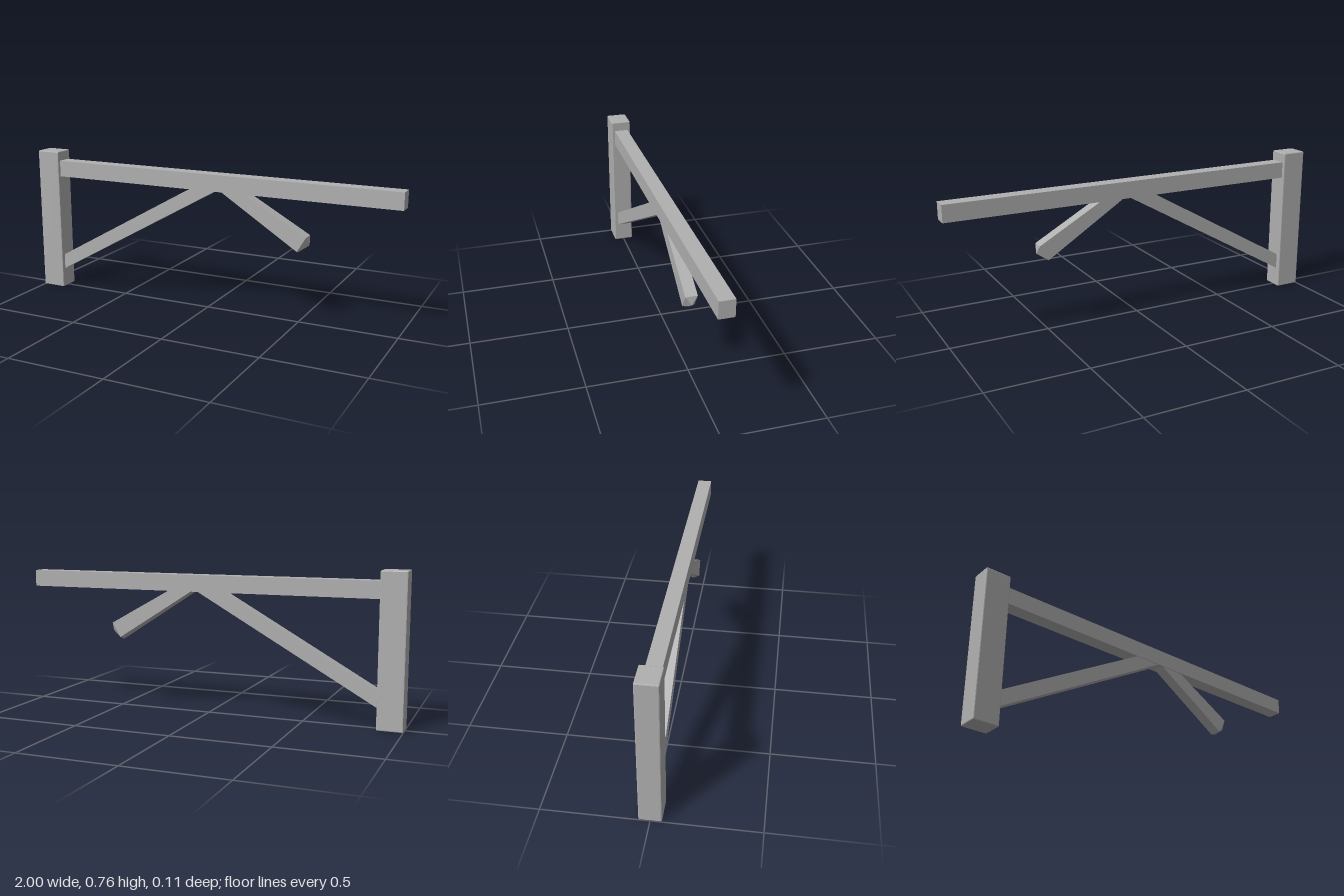
import * as THREE from 'three';
import { RoundedBoxGeometry } from 'three/addons/geometries/RoundedBoxGeometry.js';

const grey = new THREE.MeshStandardMaterial({ color: 0xb0b0b0 });
grey.name = 'grey';
grey.flatShading = true;

function add(group, name, geometry, x, y, z, tilt = 0) {
  const mesh = new THREE.Mesh(geometry, grey);
  mesh.name = name;
  mesh.position.set(x, y, z);
  mesh.rotation.z = tilt;
  group.add(mesh);
  return mesh;
}

// Five-sided peg along +x: flat top, ridged underside, pointed end
function pegGeometry(length, startHalf, endHalf, halfWidth) {
  const ring = (x, h) => [
    [x, h, -halfWidth], [x, h, halfWidth], [x, -0.72 * h, halfWidth],
    [x, -h, 0], [x, -0.72 * h, -halfWidth],
  ];
  const start = ring(0, startHalf);
  const end = ring(length, endHalf);
  const tip = [length + 0.03, 0.018, 0];
  const points = [];
  for (let i = 0; i < 5; i++) {
    const j = (i + 1) % 5;
    points.push(start[i], start[j], end[j], start[i], end[j], end[i]);
    points.push(end[i], end[j], tip);
    points.push(start[j], start[i], [0, 0, 0]);
  }
  const geometry = new THREE.BufferGeometry();
  geometry.setAttribute('position', new THREE.Float32BufferAttribute(points.flat(), 3));
  geometry.computeVertexNormals();
  return geometry;
}

export function createModel() {
  const group = new THREE.Group();
  group.name = 'bracket';

  // Upright post with slightly bevelled edges
  add(group, 'post', new RoundedBoxGeometry(0.128, 0.76, 0.106, 1, 0.005), -0.936, 0.38, 0);

  // Long horizontal beam
  add(group, 'beam', new THREE.BoxGeometry(1.9, 0.085, 0.074), 0.05, 0.6675, 0);

  // Diagonal brace, its ends buried in the post and the beam
  const from = new THREE.Vector2(-0.91, 0.122);
  const to = new THREE.Vector2(0.04, 0.658);
  const run = to.clone().sub(from);
  add(group, 'brace', new THREE.BoxGeometry(run.length(), 0.07, 0.06),
    (from.x + to.x) / 2, (from.y + to.y) / 2, 0.002, run.angle());

  // Peg sloping down from under the beam
  add(group, 'peg', pegGeometry(0.495, 0.035, 0.051, 0.03), 0.088, 0.655, 0.002, -0.541);

  return group;
}
